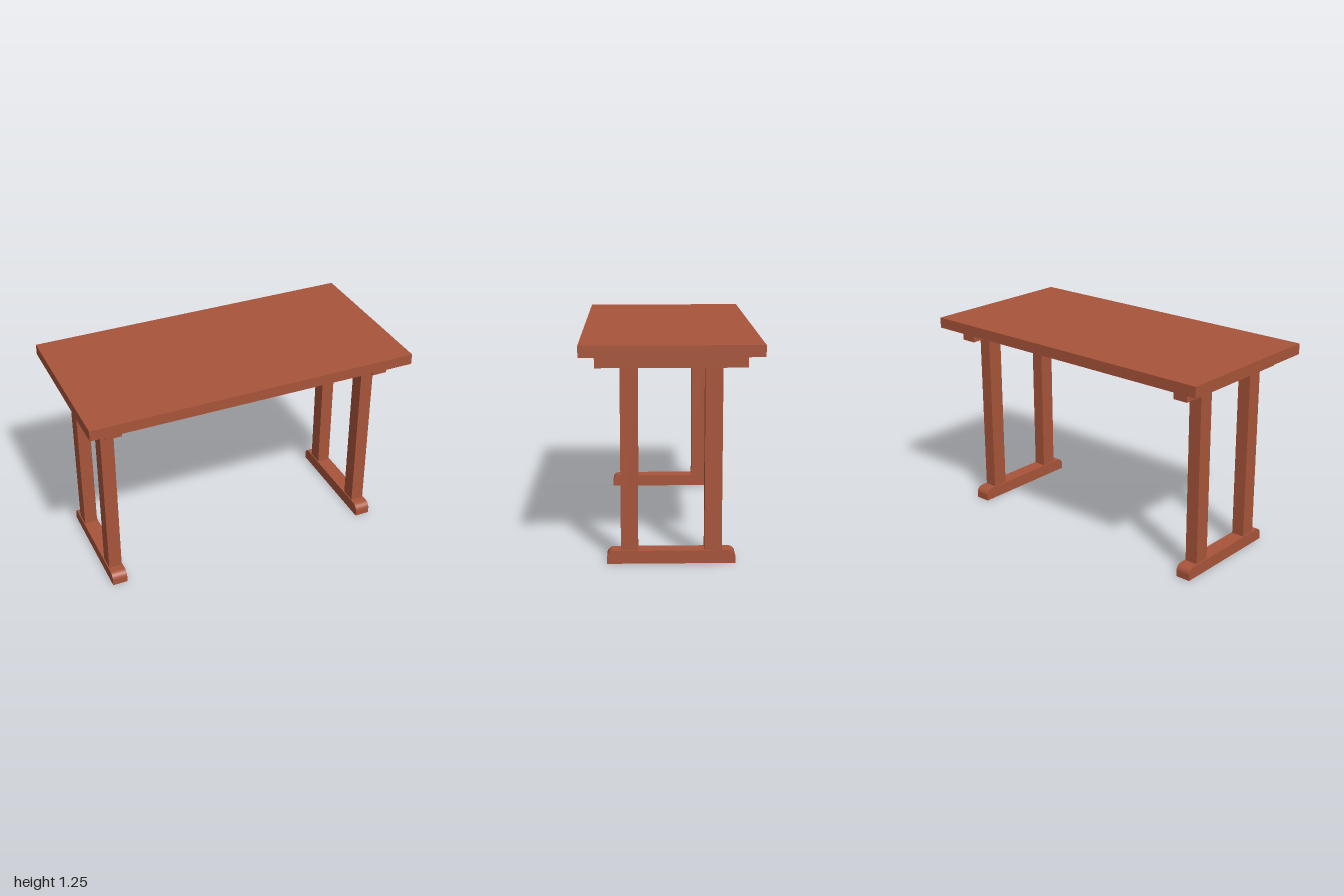
import * as THREE from 'three';

export function createModel() {
  const table = new THREE.Group();
  table.name = 'table';
  const wood = new THREE.MeshStandardMaterial({ color: 0xa8553a });
  wood.name = 'reddish brown wood';

  const add = (parent, name, geometry, x, y, z) => {
    const mesh = new THREE.Mesh(geometry, wood);
    mesh.name = name;
    mesh.position.set(x, y, z);
    parent.add(mesh);
  };

  // Tabletop slab
  add(table, 'tabletop', new THREE.BoxGeometry(2, 0.065, 1.004), 0, 1.2175, 0);

  // Foot profile with rounded upper ends, extruded across its width
  const half = 0.36, height = 0.075, radius = 0.04, width = 0.092;
  const profile = new THREE.Shape();
  profile.moveTo(-half, 0);
  profile.lineTo(half, 0);
  profile.lineTo(half, height - radius);
  profile.absarc(half - radius, height - radius, radius, 0, Math.PI / 2, false);
  profile.lineTo(-half + radius, height);
  profile.absarc(-half + radius, height - radius, radius, Math.PI / 2, Math.PI, false);
  profile.closePath();
  const footGeometry = new THREE.ExtrudeGeometry(profile, {
    depth: width, bevelEnabled: false, curveSegments: 12,
  });
  footGeometry.translate(0, 0, -width / 2);
  footGeometry.rotateY(Math.PI / 2);

  const beamGeometry = new THREE.BoxGeometry(width, 0.075, 0.84);
  const postGeometry = new THREE.BoxGeometry(0.08, 1.035, 0.097);

  // A trestle at each end: foot, two posts and a cross beam
  for (const side of [-1, 1]) {
    const trestle = new THREE.Group();
    trestle.name = side > 0 ? 'leftTrestle' : 'rightTrestle';
    trestle.position.x = side * 0.838;
    add(trestle, 'foot', footGeometry, 0, 0, 0);
    add(trestle, 'crossBeam', beamGeometry, 0, 1.1475, 0);
    add(trestle, 'frontPost', postGeometry, 0, 0.5925, 0.234);
    add(trestle, 'backPost', postGeometry, 0, 0.5925, -0.234);
    table.add(trestle);
  }
  return table;
}
